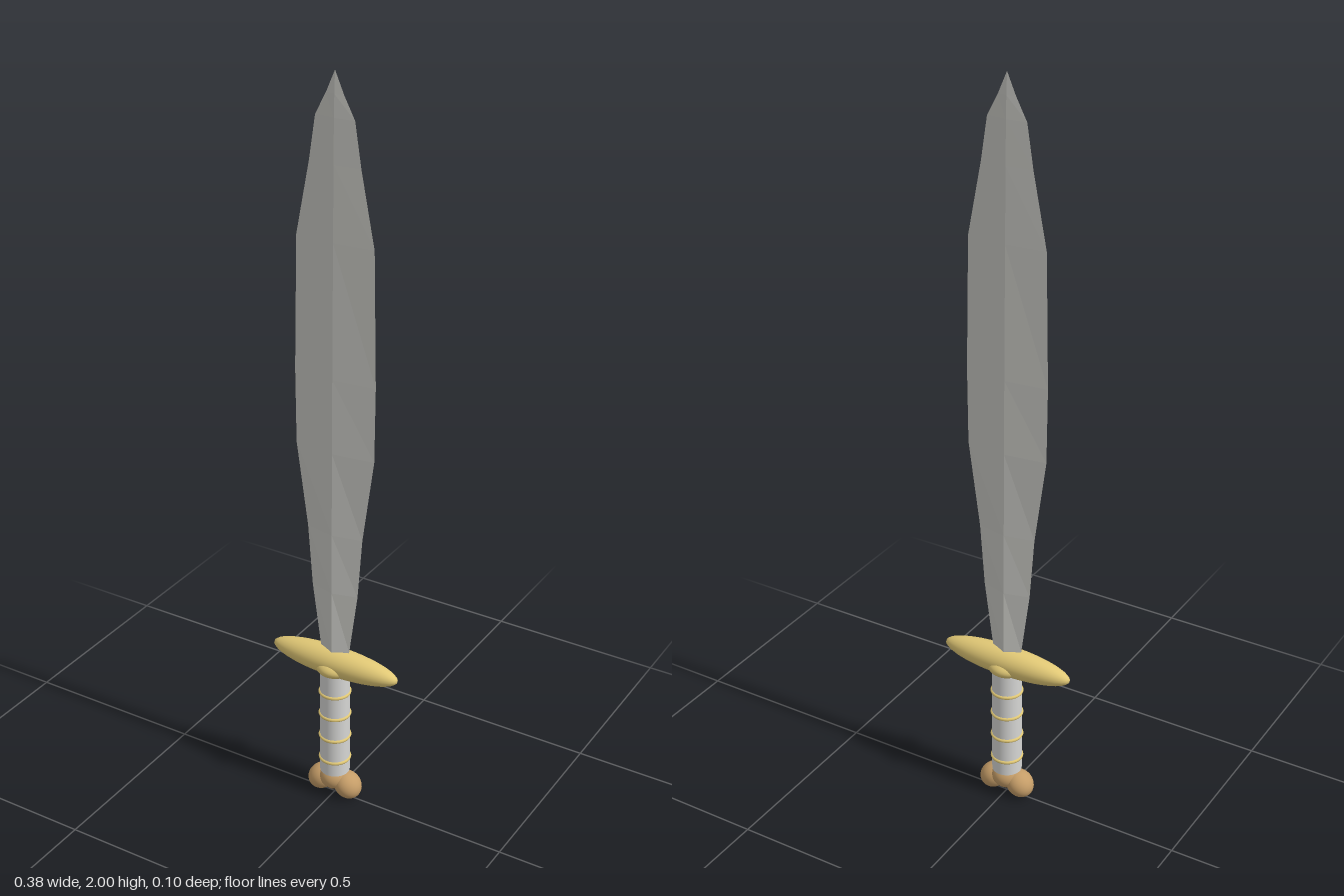
import * as THREE from 'three';

const material = (name, color) => {
  const m = new THREE.MeshStandardMaterial({ color });
  m.name = name;
  return m;
};

// Diamond cross-sections [height, half width, half thickness] joined up to a point
function bladeGeometry(sections) {
  const positions = [];
  const ring = ([y, w, t]) => [[w, y, 0], [0, y, t], [-w, y, 0], [0, y, -t]];
  for (let i = 0; i < sections.length - 1; i++) {
    const low = ring(sections[i]), high = ring(sections[i + 1]);
    for (let k = 0; k < 4; k++) {
      const n = (k + 1) % 4;
      positions.push(...low[k], ...high[n], ...low[n]);
      positions.push(...low[k], ...high[k], ...high[n]);
    }
  }
  const geometry = new THREE.BufferGeometry();
  geometry.setAttribute('position', new THREE.Float32BufferAttribute(positions, 3));
  geometry.computeVertexNormals();
  return geometry;
}

export function createModel() {
  const steel = material('blade steel', 0xc8c8c3);
  const gold = material('gold', 0xe2c976);
  const grip = material('pale grip', 0xd6d6d4);
  const bronze = material('bronze pommel', 0xc59d68);
  const sword = new THREE.Group();
  sword.name = 'sword';

  const add = (name, geometry, mat, x = 0, y = 0) => {
    const mesh = new THREE.Mesh(geometry, mat);
    mesh.name = name;
    mesh.position.set(x, y, 0);
    sword.add(mesh);
    return mesh;
  };
  const ellipsoid = (name, mat, x, y, rx, ry, rz) => {
    const mesh = add(name, new THREE.SphereGeometry(1, 32, 20), mat, x, y);
    mesh.scale.set(rx, ry, rz);
    return mesh;
  };

  // Leaf-shaped blade with a central ridge
  add('blade', bladeGeometry([
    [0.42, 0.04, 0.018], [0.465, 0.043, 0.0178], [0.64, 0.067, 0.0172],
    [0.81, 0.08, 0.0162], [1.04, 0.112, 0.0148], [1.24, 0.114, 0.0128],
    [1.59, 0.107, 0.009], [1.78, 0.07, 0.0065], [1.89, 0.053, 0.005],
    [1.945, 0.024, 0.003], [2.0, 0, 0],
  ]), steel);

  // Crossguard and its round central boss
  ellipsoid('crossguard', gold, 0, 0.424, 0.188, 0.04, 0.041);
  ellipsoid('guardBoss', gold, 0, 0.412, 0.051, 0.028, 0.051);

  // Grip bound with thin rings
  add('grip', new THREE.CylinderGeometry(0.04, 0.04, 0.34, 32), grip, 0, 0.25);
  for (const y of [0.122, 0.193, 0.263, 0.332]) {
    const ring = add('gripRing', new THREE.TorusGeometry(0.039, 0.005, 8, 32), gold, 0, y);
    ring.rotation.x = Math.PI / 2;
  }

  // Pommel: a core with a drooping lobe on each side
  ellipsoid('pommelCore', bronze, 0, 0.058, 0.042, 0.037, 0.042);
  for (const side of [-1, 1]) {
    const lobe = ellipsoid('pommelLobe', bronze, side * 0.04, 0.041, 0.041, 0.035, 0.037);
    lobe.rotation.z = -side * 0.7;
  }
  return sword;
}
